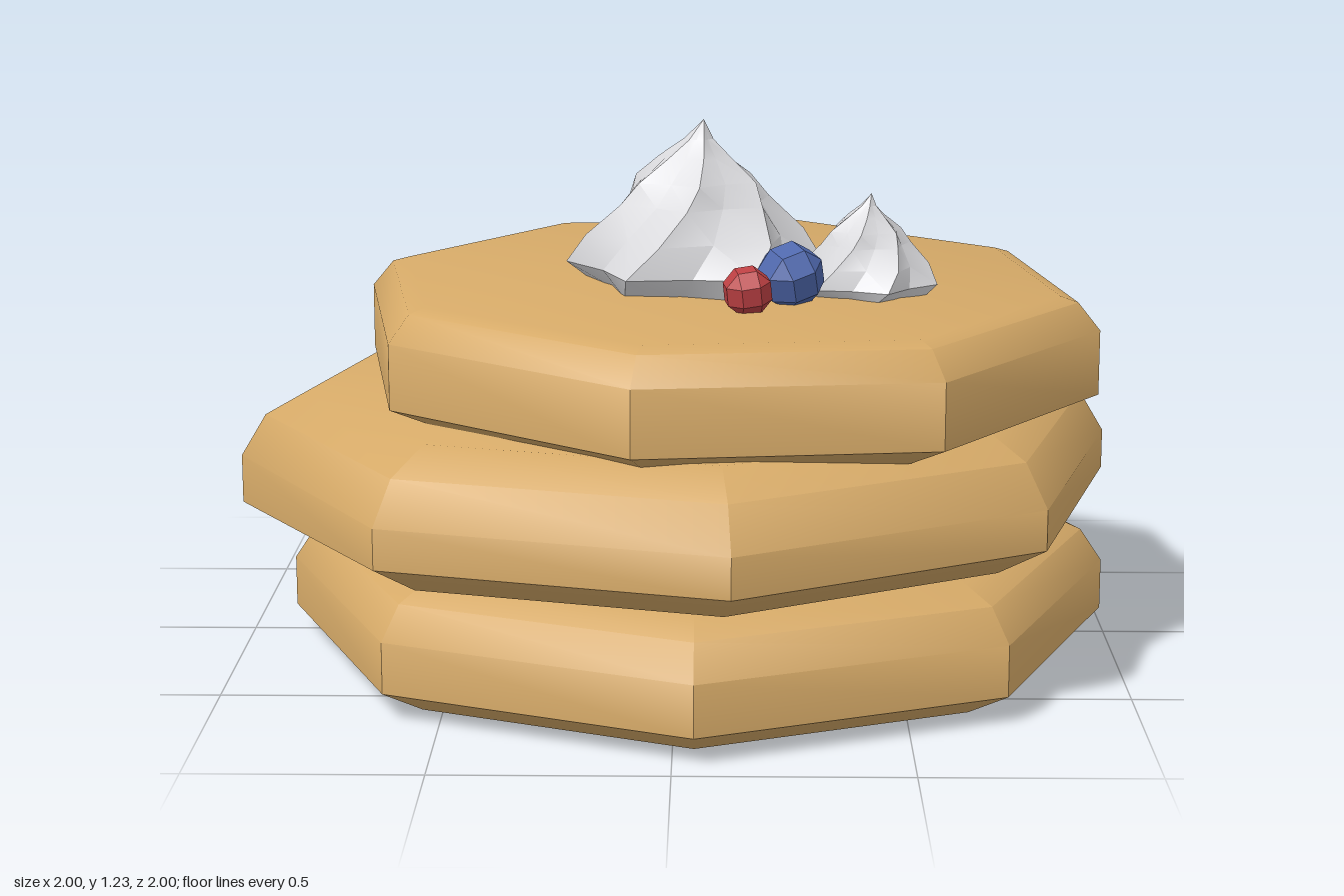
import * as THREE from 'three';
import { toCreasedNormals } from 'three/addons/utils/BufferGeometryUtils.js';
import { ConvexGeometry } from 'three/addons/geometries/ConvexGeometry.js';

const mat = (name, color) => {
  const m = new THREE.MeshStandardMaterial({ color });
  m.name = name;
  return m;
};

const points = (list) => list.map(([r, y]) => new THREE.Vector2(r, y));

// Moves every vertex of a geometry by a rule.
function deform(geometry, rule) {
  const pos = geometry.attributes.position;
  const v = new THREE.Vector3();
  for (let i = 0; i < pos.count; i++) {
    rule(v.fromBufferAttribute(pos, i));
    pos.setXYZ(i, v.x, v.y, v.z);
  }
  return geometry;
}

// Eight-sided disc with soft upper shoulder and a crisp lower bevel.
function pancake(profile, turn, rule) {
  const g = new THREE.LatheGeometry(points(profile), 8);
  g.rotateY(turn);
  if (rule) deform(g, rule);
  return toCreasedNormals(g, 0.7);
}

// Twisted, lobed dollop drawn up to a bent tip; about 0.26 in radius and 0.37 high.
function dollop(turn) {
  const profile = [[0, 0], [0.215, 0], [0.262, 0.05], [0.225, 0.12], [0.165, 0.19],
    [0.135, 0.24], [0.075, 0.29], [0.03, 0.33], [0, 0.375]];
  const g = new THREE.LatheGeometry(points(profile), 12);
  deform(g, (v) => {
    const lobe = 1 + 0.11 * Math.cos(6 * Math.atan2(v.x, v.z));
    const twist = turn + v.y * 3.2;
    const x = v.x * lobe, z = v.z * lobe;
    const bend = v.y > 0.3 ? (v.y - 0.3) * 0.25 : 0;
    v.x = x * Math.cos(twist) + z * Math.sin(twist) + bend;
    v.z = z * Math.cos(twist) - x * Math.sin(twist) + bend;
  });
  return toCreasedNormals(g, 0.45);
}

// Small ball of square and triangular facets.
function berry(radius) {
  const pts = [];
  const a = radius * 0.93, b = a * 0.42;
  for (const x of [-1, 1]) for (const y of [-1, 1]) for (const z of [-1, 1]) {
    pts.push(new THREE.Vector3(x * a, y * b, z * b));
    pts.push(new THREE.Vector3(x * b, y * a, z * b));
    pts.push(new THREE.Vector3(x * b, y * b, z * a));
  }
  return new ConvexGeometry(pts);
}

export function createModel() {
  const batter = mat('golden batter', 0xd6aa68);
  const white = mat('whipped cream', 0xdadadd);
  const blue = mat('blueberry blue', 0x4f68ad);
  const red = mat('raspberry red', 0xbe4144);

  const model = new THREE.Group();
  model.name = 'pancakeStack';
  const add = (name, geometry, material, x, y, z) => {
    const mesh = new THREE.Mesh(geometry, material);
    mesh.name = name;
    mesh.position.set(x, y, z);
    model.add(mesh);
    return mesh;
  };

  // Pancakes
  add('bottomPancake', pancake([[0, 0], [0.835, 0], [0.945, 0.06], [0.945, 0.175],
    [0.895, 0.25], [0.815, 0.287], [0, 0.287]], 0), batter, 0.045, 0, 0);

  // The left corner droops a little.
  add('middlePancake', pancake([[0, 0.3], [0.885, 0.3], [1.007, 0.37], [1.007, 0.46],
    [0.95, 0.555], [0.85, 0.61], [0, 0.61]], 0.12, (v) => {
    if (v.x < -0.8) v.y -= v.y < 0.4 ? 0.03 : 0.01;
  }), batter, 0, 0, 0);

  // The top one tips gently toward the front left.
  add('topPancake', pancake([[0, 0.592], [0.73, 0.592], [0.85, 0.645], [0.85, 0.79],
    [0.8, 0.85], [0.76, 0.862], [0, 0.865]], -0.23, (v) => {
    v.y -= 0.013 * v.x + 0.015 * v.z;
  }), batter, 0.11, 0, 0.07);

  // Cream
  add('largeCream', dollop(0.35), white, 0.04, 0.855, 0.13);
  add('smallCream', dollop(0.1), white, 0.42, 0.845, 0.2).scale.set(0.56, 0.61, 0.6);

  // Berries
  const blueShape = berry(0.07), redShape = berry(0.052);
  for (const [x, y, z] of [[0.04, 0.92, -0.17], [0.165, 0.92, -0.165], [0.25, 0.915, 0.355]]) {
    add('blueberry', blueShape, blue, x, y, z).rotation.set(0.3, 0.5, 0.15);
  }
  for (const [x, y, z] of [[0.1, 0.915, -0.27], [0.155, 0.9, 0.46]]) {
    add('redBerry', redShape, red, x, y, z).rotation.set(0.15, 0.2, 0.1);
  }
  return model;
}
